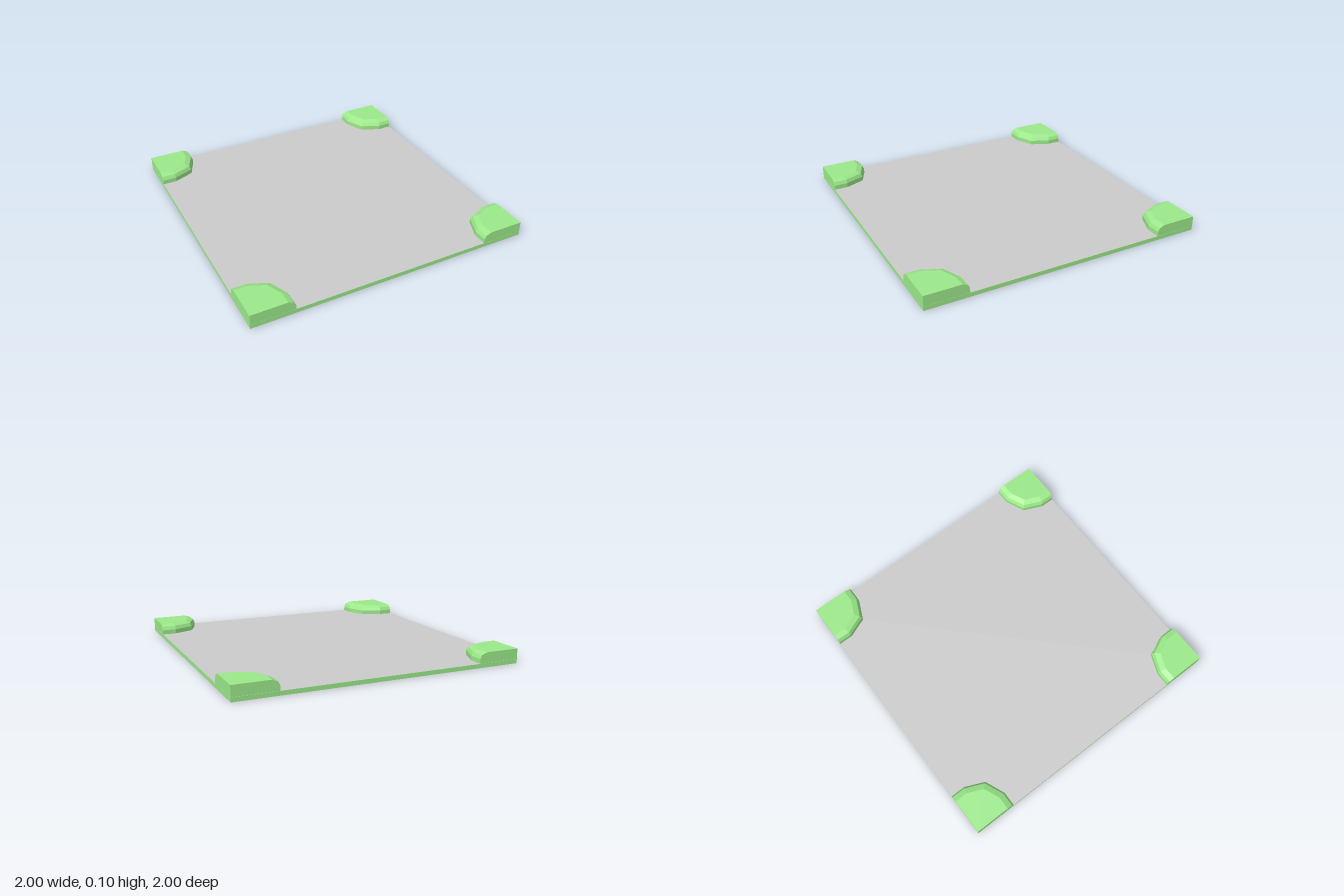
import * as THREE from 'three';

const GREEN = 0x9ce98a;
const SLAB = 0.03;

// Raised verge in the +x +z corner: inset outlines stacked into a bevelled block
function cornerGeometry() {
  const levels = [[SLAB, 0], [0.062, 0], [0.087, 0.013], [0.102, 0.05]]; // [height, inset]
  const outline = d => [
    [1, 0.7 + d], [0.9 + 0.2 * d, 0.7 + d], [0.76 + 0.765 * d, 0.76 + 0.765 * d],
    [0.7 + d, 0.9 + 0.2 * d], [0.7 + d, 1], [1, 1],
  ];
  const n = 6, positions = [], index = [];
  for (const [y, d] of levels) for (const [x, z] of outline(d)) positions.push(x, y, z);
  for (let k = 0; k < levels.length - 1; k++) {
    for (let i = 0; i < n; i++) {
      const a = k * n + i, b = k * n + (i + 1) % n;
      index.push(a, b, b + n, a, b + n, a + n);
    }
  }
  // Flat top, fanned from the outer corner
  const top = (levels.length - 1) * n;
  for (let i = 0; i < n - 2; i++) index.push(top + n - 1, top + i, top + i + 1);

  const geometry = new THREE.BufferGeometry();
  geometry.setAttribute('position', new THREE.Float32BufferAttribute(positions, 3));
  geometry.setIndex(index);
  const flat = geometry.toNonIndexed();
  flat.computeVertexNormals();
  return flat;
}

export function createModel() {
  const group = new THREE.Group();
  const grass = new THREE.MeshStandardMaterial({ color: GREEN, flatShading: true });
  const paving = new THREE.MeshStandardMaterial({ color: 0xcccccc });

  // Thin ground slab
  const base = new THREE.Mesh(new THREE.BoxGeometry(2, SLAB - 0.001, 2), grass);
  base.name = 'base';
  base.position.y = (SLAB - 0.001) / 2;
  group.add(base);

  // Road surface covering the slab
  const road = new THREE.Mesh(new THREE.PlaneGeometry(2, 2).rotateX(-Math.PI / 2), paving);
  road.name = 'roadSurface';
  road.position.y = SLAB;
  group.add(road);

  // Four grass corners
  const corner = cornerGeometry();
  ['frontLeft', 'backLeft', 'backRight', 'frontRight'].forEach((place, i) => {
    const mesh = new THREE.Mesh(corner, grass);
    mesh.name = place + 'GrassCorner';
    mesh.rotation.y = i * Math.PI / 2;
    group.add(mesh);
  });
  return group;
}
